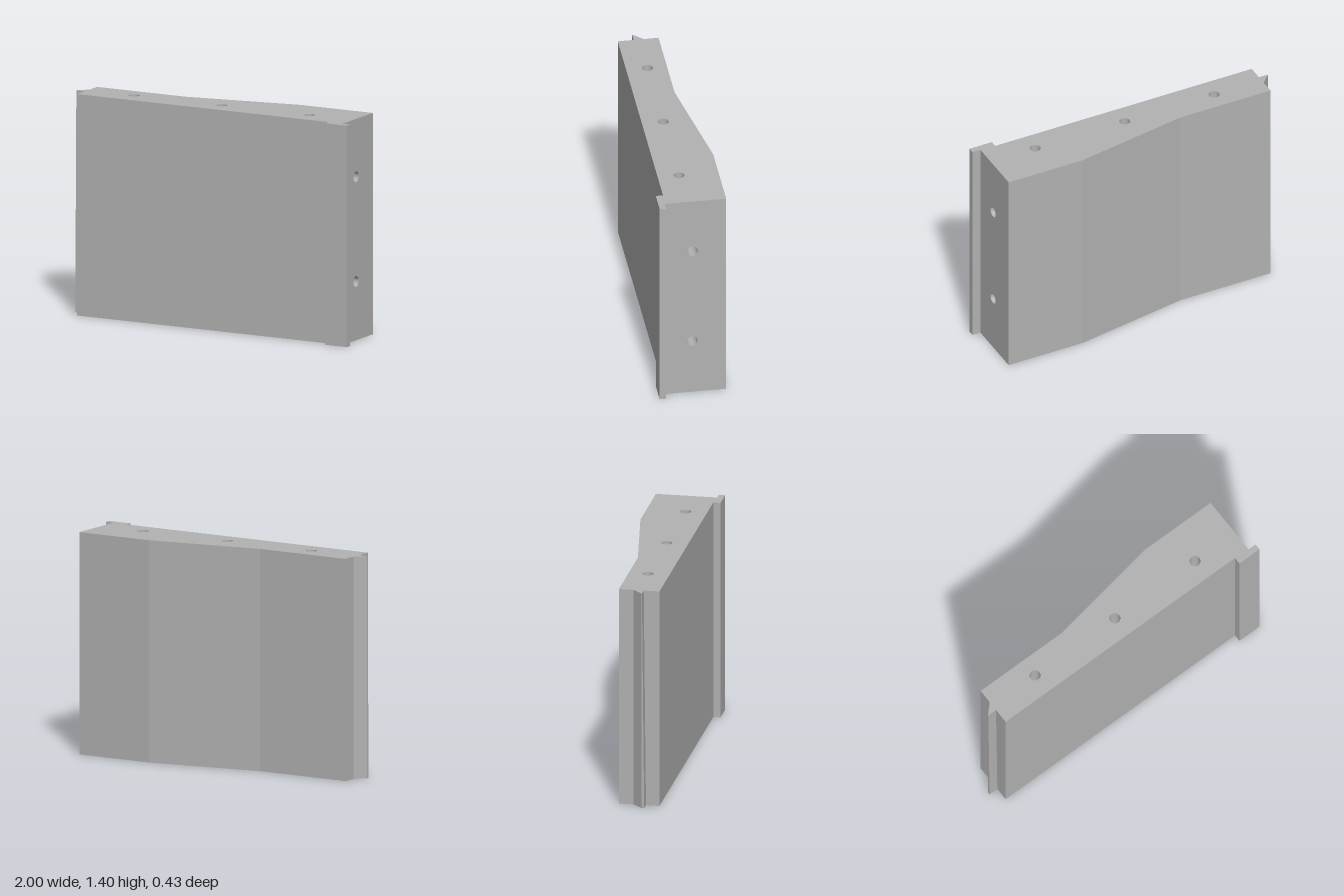
import * as THREE from 'three';

const HEIGHT = 1.4;
const END_X = 0.945;
const HOLE_R = 0.034;
const HOLE_DEPTH = 0.2;

// Plan outline as [x, z at top, z at bottom if different]; the first edge is the drilled end.
const OUTLINE = [
  [END_X, 0.173], [END_X, -0.213], [0.43, -0.213], [-0.31, -0.088],
  [-0.94, -0.088], [-0.94, 0.005],
  [-1, 0.066], [-1, 0.069, 0.083], [-0.94, 0.069, 0.083], // tongue
  [-0.94, 0.168], [0.845, 0.168],
  [0.845, 0.213], [1, 0.213], [1, 0.173], // overlapping lip
];

const TOP_HOLES = [-0.61, 0.012, 0.635].map((x) => [x, 0.034]); // x, z
const END_HOLES = [0.372, 1.034].map((y) => [0, y]); // z, y

// Flat face with round openings
function drilledFace(points, holes) {
  const shape = new THREE.Shape(points.map(([x, y]) => new THREE.Vector2(x, y)));
  for (const [x, y] of holes) {
    shape.holes.push(new THREE.Path().absarc(x, y, HOLE_R, 0, Math.PI * 2, true));
  }
  return new THREE.ShapeGeometry(shape, 16);
}

// Vertical walls around the outline, leaving out the drilled end
function wallGeometry() {
  const pos = [];
  for (let i = 1; i < OUTLINE.length; i++) {
    const [ax, at, ab = at] = OUTLINE[i];
    const [bx, bt, bb = bt] = OUTLINE[(i + 1) % OUTLINE.length];
    pos.push(ax, 0, ab, bx, 0, bb, bx, HEIGHT, bt);
    pos.push(ax, 0, ab, bx, HEIGHT, bt, ax, HEIGHT, at);
  }
  const geo = new THREE.BufferGeometry();
  geo.setAttribute('position', new THREE.Float32BufferAttribute(pos, 3));
  geo.computeVertexNormals();
  return geo;
}

export function createModel() {
  const model = new THREE.Group();
  model.name = 'wallPanel';
  const grey = new THREE.MeshStandardMaterial({ color: 0xb2b2b2, side: THREE.DoubleSide });
  grey.name = 'concreteGrey';

  const add = (name, geo, parent = model) => {
    const mesh = new THREE.Mesh(geo, grey);
    mesh.name = name;
    parent.add(mesh);
    return mesh;
  };

  add('walls', wallGeometry());

  // Top and bottom faces
  const top = drilledFace(OUTLINE.map(([x, z]) => [x, -z]), TOP_HOLES.map(([x, z]) => [x, -z]));
  add('topFace', top.rotateX(-Math.PI / 2).translate(0, HEIGHT, 0));
  const bottom = drilledFace(OUTLINE.map(([x, t, b = t]) => [x, b]), []);
  add('bottomFace', bottom.rotateX(Math.PI / 2));

  // Drilled end face
  const end = drilledFace(
    [[-0.173, 0], [0.213, 0], [0.213, HEIGHT], [-0.173, HEIGHT]], END_HOLES);
  add('endFace', end.rotateY(Math.PI / 2).translate(END_X, 0, 0));

  // Blind dowel holes: bore and floor, opening towards local +y
  const bore = new THREE.CylinderGeometry(HOLE_R, HOLE_R, HOLE_DEPTH, 32, 1, true)
    .translate(0, -HOLE_DEPTH / 2, 0);
  const floor = new THREE.CircleGeometry(HOLE_R, 32)
    .rotateX(-Math.PI / 2).translate(0, -HOLE_DEPTH, 0);
  const addHole = (name, x, y, z, tilt) => {
    const hole = new THREE.Group();
    hole.name = name;
    hole.position.set(x, y, z);
    hole.rotation.z = tilt;
    add('bore', bore, hole);
    add('boreFloor', floor, hole);
    model.add(hole);
  };
  TOP_HOLES.forEach(([x, z]) => addHole('topHole', x, HEIGHT, z, 0));
  END_HOLES.forEach(([z, y]) => addHole('endHole', END_X, y, z, -Math.PI / 2));

  return model;
}
